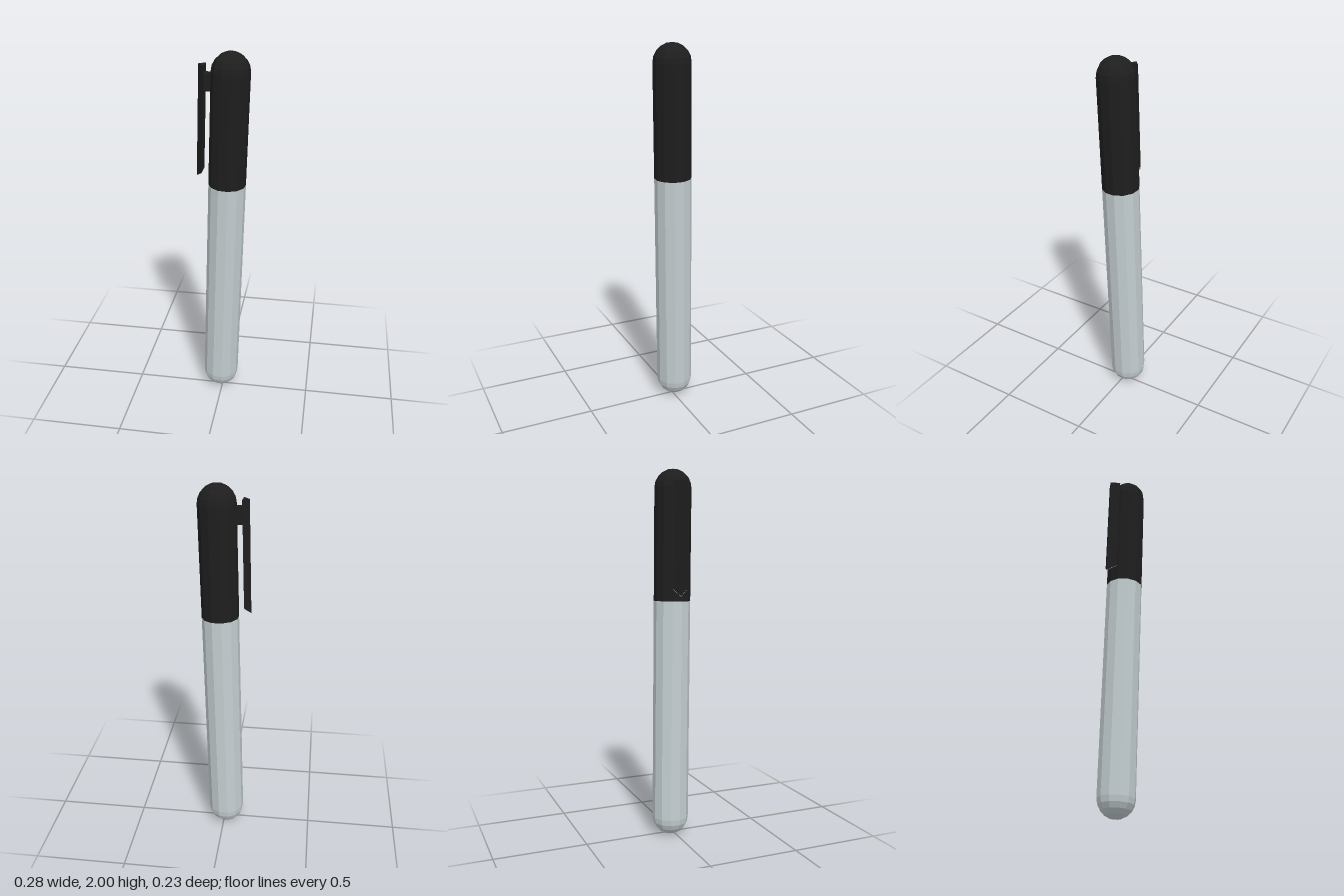
import * as THREE from 'three';

const SIDES = 12, R = 0.099, PHI = THREE.MathUtils.degToRad(10);

export function createModel() {
  const black = new THREE.MeshStandardMaterial({ name: 'black plastic', color: 0x1e1e1e, flatShading: true });
  const grey = new THREE.MeshStandardMaterial({ name: 'pale grey barrel', color: 0xc3cdd0, flatShading: true });

  const marker = new THREE.Group();
  marker.name = 'marker';
  const add = (name, geometry, material) => {
    const mesh = new THREE.Mesh(geometry, material);
    mesh.name = name;
    marker.add(mesh);
    return mesh;
  };

  // Quarter-circle profile from a pole (t = 0) to the rim (t = 1)
  const dome = (poleY, dir) => Array.from({ length: 6 }, (_, i) => {
    const a = (i / 5) * Math.PI / 2;
    return new THREE.Vector2(R * Math.sin(a), poleY + dir * R * (1 - Math.cos(a)));
  });
  const lathe = (points) => new THREE.LatheGeometry(points, SIDES, PHI);

  // Barrel and cap, each with one domed end
  add('barrel', lathe([...dome(0, 1), new THREE.Vector2(R, 1.3)]), grey);
  add('cap', lathe([new THREE.Vector2(R, 1.3), ...dome(2, -1).reverse()]), black);

  // Pocket clip: triangular bar whose lower end is cut at a slant
  const triangle = new THREE.Shape([[-0.166, 0.018], [-0.133, -0.027], [-0.131, 0.046]]
    .map(([x, y]) => new THREE.Vector2(x, y)));
  const bar = (y0, y1, slantAll) => {
    const g = new THREE.ExtrudeGeometry(triangle, { depth: y1 - y0, bevelEnabled: false });
    g.rotateX(-Math.PI / 2).translate(0, y0, 0);
    const p = g.attributes.position;
    for (let i = 0; i < p.count; i++) {
      if (slantAll || p.getY(i) < y0 + 0.001) p.setY(i, p.getY(i) + p.getX(i) + 0.166);
    }
    g.computeVertexNormals();
    return g;
  };
  add('clip', bar(1.33, 1.925, false), black);
  add('clipEnd', bar(1.328, 1.33, true), grey);

  // Bridge joining the clip to the cap
  add('clipBridge', new THREE.BoxGeometry(0.08, 0.09, 0.04), black).position.set(-0.1, 1.842, -0.005);

  // Lean the whole marker slightly to its left and forward
  const axis = new THREE.Vector3(0.056, 1.8, 0.04).normalize();
  marker.quaternion.setFromUnitVectors(new THREE.Vector3(0, 1, 0), axis);
  marker.position.set(-0.0155, 0, -0.021);

  const model = new THREE.Group();
  model.name = 'model';
  model.add(marker);
  return model;
}
